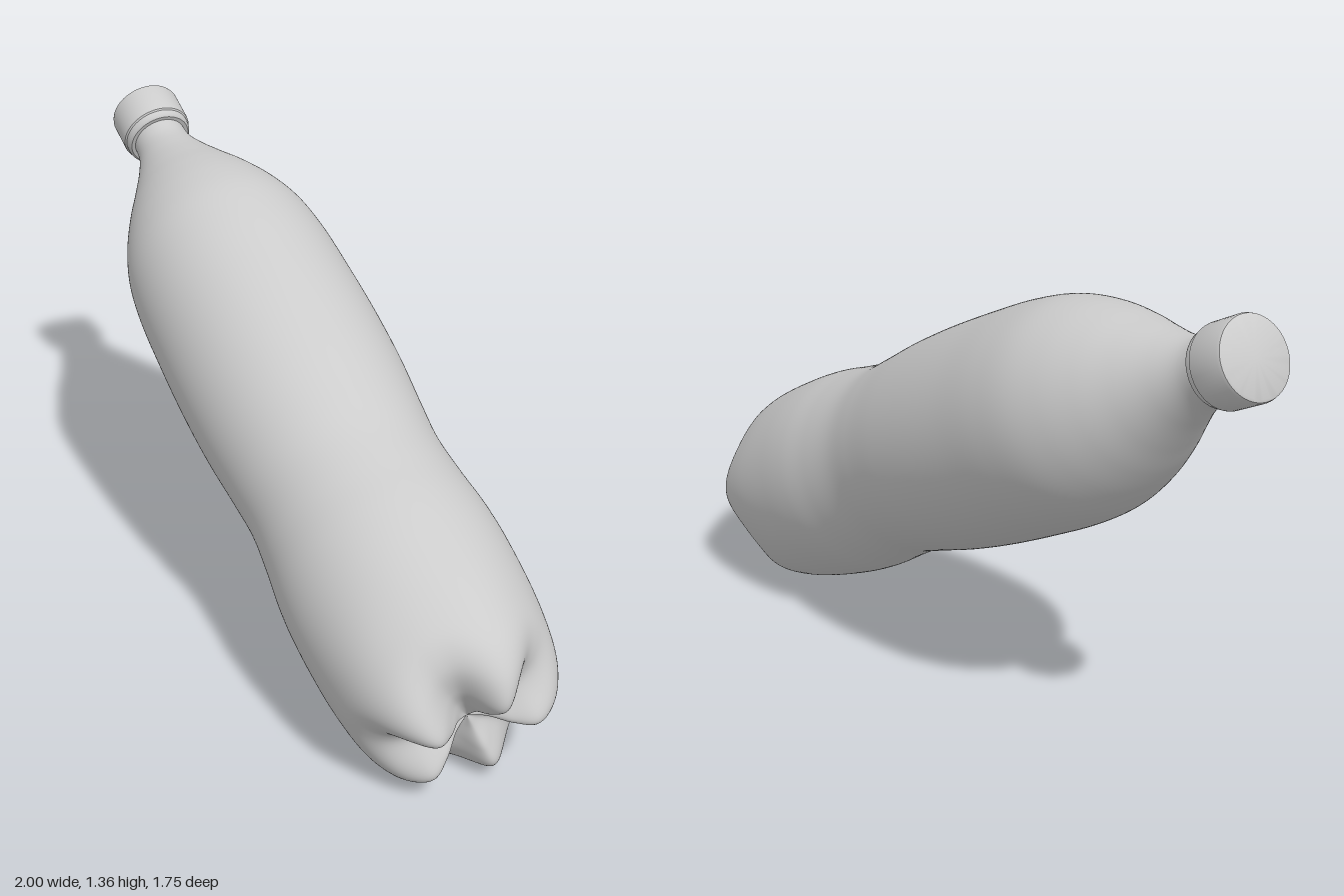
import * as THREE from 'three';
import { mergeVertices, toCreasedNormals } from 'three/addons/utils/BufferGeometryUtils.js';

const FEET = 5, FOOT_ANGLE = 0.175;

// Profile curve through [radius, height] pairs
const curve = (pairs) => new THREE.CatmullRomCurve3(pairs.map(([r, h]) => new THREE.Vector3(r, h, 0)));

// Wall above the base: waist, belly, shoulder, neck
const wall = [
  [0.334, 0.40], [0.331, 0.53], [0.317, 0.66], [0.307, 0.80], [0.315, 0.93], [0.329, 1.10],
  [0.335, 1.28], [0.333, 1.48], [0.326, 1.66], [0.308, 1.79], [0.272, 1.90], [0.225, 2.00],
  [0.175, 2.09], [0.125, 2.185], [0.095, 2.26], [0.088, 2.31], [0.088, 2.37],
];
// Base profiles through the middle of a foot and through the groove between two feet
const foot = curve([[0, 0.01], [0.05, -0.012], [0.11, -0.06], [0.17, -0.088], [0.235, -0.052],
  [0.29, 0.03], [0.322, 0.17], ...wall]);
const groove = curve([[0, 0.01], [0.05, 0.008], [0.10, 0.008], [0.165, 0.012], [0.245, 0.04],
  [0.295, 0.10], [0.320, 0.21], ...wall]);

function bodyGeometry() {
  const rows = 184, sides = 160;
  const footPts = foot.getPoints(rows), groovePts = groove.getPoints(rows);
  const geo = new THREE.LatheGeometry(footPts.map((p) => new THREE.Vector2(p.x, p.y)), sides);
  const pos = geo.attributes.position;
  const p = new THREE.Vector3();
  // Blend foot and groove profiles around the axis
  for (let i = 0; i <= sides; i++) {
    const a = ((i % sides) / sides) * Math.PI * 2;
    const w = Math.pow(0.5 + 0.5 * Math.cos(FEET * (a + FOOT_ANGLE)), 1.2);
    for (let j = 0; j <= rows; j++) {
      p.lerpVectors(groovePts[j], footPts[j], w);
      const r = Math.max(p.x, 0);
      pos.setXYZ(i * (rows + 1) + j, r * Math.sin(a), p.y, r * Math.cos(a));
    }
  }
  geo.deleteAttribute('uv');
  geo.deleteAttribute('normal');
  const merged = mergeVertices(geo, 1e-5);
  merged.computeVertexNormals();
  return merged;
}

function capGeometry() {
  const pts = [
    [0.08, 2.318], [0.100, 2.318], [0.107, 2.324], [0.109, 2.334], [0.109, 2.342],
    [0.114, 2.346], [0.115, 2.352], [0.115, 2.452], [0.112, 2.461], [0.105, 2.465], [0, 2.465],
  ].map(([r, h]) => new THREE.Vector2(r, h));
  return toCreasedNormals(new THREE.LatheGeometry(pts, 64), 0.7);
}

export function createModel() {
  const material = new THREE.MeshStandardMaterial({ color: 0xcccccc });
  const bottle = new THREE.Group();
  bottle.name = 'bottle';

  const body = new THREE.Mesh(bodyGeometry(), material);
  body.name = 'bottleBody';
  const cap = new THREE.Mesh(capGeometry(), material);
  cap.name = 'screwCap';
  bottle.add(body, cap);

  // Tilt the bottle: local y runs from base to cap
  const axis = new THREE.Vector3(-0.70, 0.414, -0.582).normalize();
  const side = new THREE.Vector3().crossVectors(axis, new THREE.Vector3(0, 1, 0)).normalize().negate();
  if (side.x < 0) side.negate();
  const across = new THREE.Vector3().crossVectors(axis, side);
  bottle.quaternion.setFromRotationMatrix(new THREE.Matrix4().makeBasis(across, axis, side));
  bottle.position.set(0.81, 0.225, 0.66);

  const model = new THREE.Group();
  model.name = 'tiltedBottle';
  model.add(bottle);
  return model;
}
